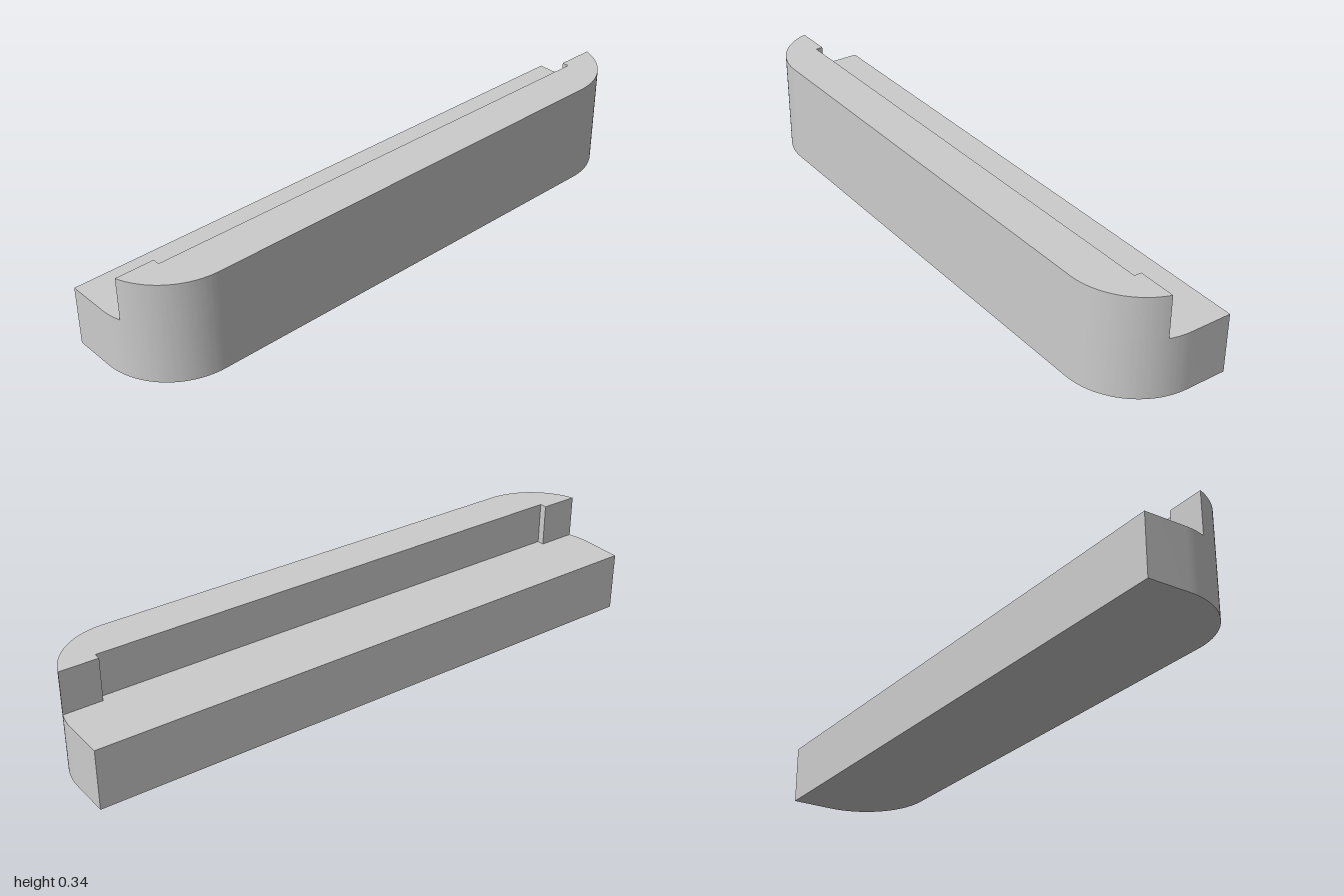
import * as THREE from 'three';
import { toCreasedNormals } from 'three/addons/utils/BufferGeometryUtils.js';

const RIGHT = -0.19, LEFT = 0.19, HALF = 1, RADIUS = 0.24;
const CX = LEFT - RADIUS, CZ = HALF - RADIUS; // centre of the rounded corners
const BASE_TOP = 0.2, WALL_TOP = 0.343;
const LIP = 0.023, RECESS = 0.047, RECESS_HALF = 0.86;

// Adds both rounded corners and the straight run between them
function roundedSide(shape, angle) {
  shape.absarc(CX, -CZ, RADIUS, -angle, 0, false);
  shape.absarc(CX, CZ, RADIUS, 0, angle, false);
}

// Extrudes a plan outline upwards, smooth around the corners only
function slab(name, shape, bottom, top, material) {
  const extruded = new THREE.ExtrudeGeometry(shape, { depth: top - bottom, bevelEnabled: false, curveSegments: 24 });
  extruded.rotateX(-Math.PI / 2).translate(0, bottom, 0);
  const mesh = new THREE.Mesh(toCreasedNormals(extruded, 0.5), material);
  mesh.name = name;
  return mesh;
}

export function createModel() {
  const group = new THREE.Group();
  group.name = 'steppedBar';
  const grey = new THREE.MeshStandardMaterial({ color: 0xcccccc });
  grey.name = 'light grey';

  // Low base: straight long side, then the two rounded corners
  const base = new THREE.Shape();
  base.moveTo(RIGHT, HALF);
  base.lineTo(RIGHT, -HALF);
  roundedSide(base, Math.PI / 2);
  base.closePath();
  group.add(slab('base', base, 0, BASE_TOP, grey));

  // Raised wall with a shallow recess between its end lips
  const wall = new THREE.Shape();
  roundedSide(wall, Math.acos((LIP - CX) / RADIUS));
  wall.lineTo(LIP, RECESS_HALF);
  wall.lineTo(RECESS, RECESS_HALF);
  wall.lineTo(RECESS, -RECESS_HALF);
  wall.lineTo(LIP, -RECESS_HALF);
  wall.closePath();
  group.add(slab('raisedWall', wall, BASE_TOP, WALL_TOP, grey));

  return group;
}
